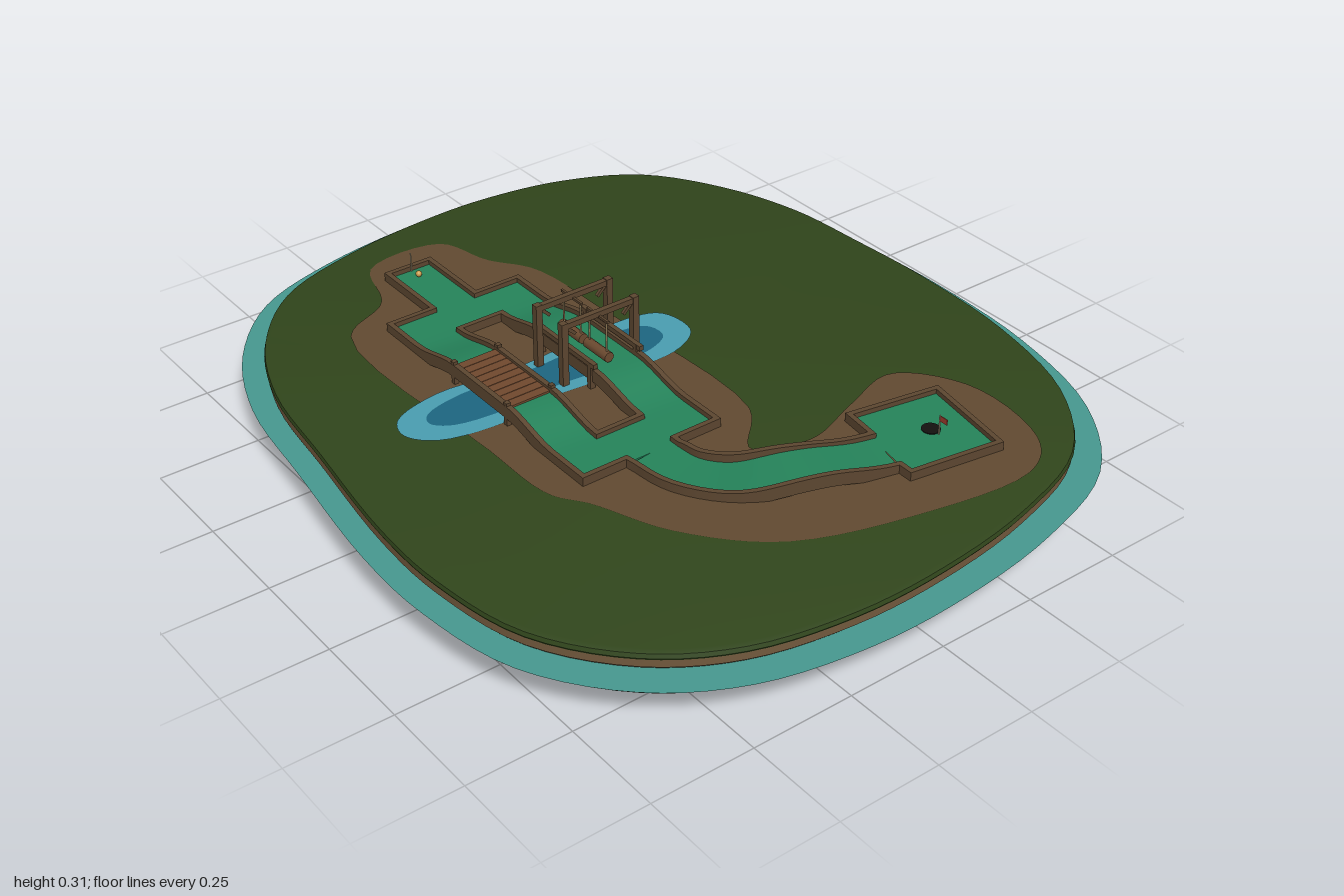
import * as THREE from 'three';
import { toCreasedNormals } from 'three/addons/utils/BufferGeometryUtils.js';

const V = (x, z) => new THREE.Vector3(x, 0, z);
const WOOD = 0x5c4630, FELT = 0x25835a, DIRT = 0x614a31;

const smooth = (pts, n, closed = true) => {
  const c = new THREE.CatmullRomCurve3(pts.map(p => V(...p)), closed).getPoints(n);
  if (closed) c.pop();
  return c;
};

function add(parent, name, geometry, color, x = 0, y = 0, z = 0, side = THREE.FrontSide) {
  const m = new THREE.Mesh(geometry, new THREE.MeshStandardMaterial({ color, side }));
  m.name = name;
  m.position.set(x, y, z);
  parent.add(m);
  return m;
}

// Skin over scaled copies of an outline, rings = [scale, y] from below to above
function loft(outline, rings) {
  const n = outline.length, pos = [], idx = [];
  rings.forEach(([s, y]) => outline.forEach(p => pos.push(p.x * s, y, p.z * s)));
  for (let k = 0; k < rings.length - 1; k++) for (let i = 0; i < n; i++) {
    const j = (i + 1) % n, a = k * n + i, b = k * n + j, c = a + n, d = b + n;
    idx.push(a, c, b, b, c, d);
  }
  const g = new THREE.BufferGeometry();
  g.setAttribute('position', new THREE.Float32BufferAttribute(pos, 3));
  g.setIndex(idx);
  return toCreasedNormals(g, 0.6);
}

// Flat outline on the ground
function patch(pts) {
  const g = new THREE.ShapeGeometry(new THREE.Shape(pts.map(p => new THREE.Vector2(p.x, -p.z))));
  return g.rotateX(-Math.PI / 2);
}

// Height of the playing surface: a hump over the stream and one on the bend
const ease = t => THREE.MathUtils.smoothstep(t, 0, 1);
function surf(x, z) {
  let y = 0.157;
  if (x > -0.42 && x < 0.17) y += 0.03 * Math.min(ease((x + 0.4) / 0.17), ease((0.15 - x) / 0.17));
  const t = Math.abs(z + 0.01) / 0.19;
  if (x > 0.3 && t < 1) y += 0.011 * (1 + Math.cos(Math.PI * t));
  return y;
}

// Rectangular section swept along a ground path, following the surface height
function ribbon(path, width, rise, drop, closed = false) {
  const pts = [];
  const last = closed ? path.length : path.length - 1;
  for (let i = 0; i < last; i++) {
    const a = path[i], b = path[(i + 1) % path.length];
    const n = Math.max(1, Math.ceil(a.distanceTo(b) / 0.03));
    for (let k = 0; k < n; k++) pts.push(a.clone().lerp(b, k / n));
  }
  if (!closed) pts.push(path[path.length - 1].clone());
  const N = pts.length, pos = [], idx = [];
  pts.forEach((p, i) => {
    const q = closed ? pts[(i + N - 1) % N] : pts[Math.max(0, i - 1)];
    const r = closed ? pts[(i + 1) % N] : pts[Math.min(N - 1, i + 1)];
    let d1 = p.clone().sub(q).normalize(), d2 = r.clone().sub(p).normalize();
    if (d1.length() < 0.5) d1 = d2;
    if (d2.length() < 0.5) d2 = d1;
    const t = d1.clone().add(d2).normalize();
    const w = width / 2 / Math.max(0.5, t.dot(d1));
    const y = surf(p.x, p.z);
    for (const [s, h] of [[1, -drop], [1, rise], [-1, rise], [-1, -drop]])
      pos.push(p.x + s * t.z * w, y + h, p.z - s * t.x * w);
  });
  for (let i = 0; i < (closed ? N : N - 1); i++) for (let j = 0; j < 4; j++) {
    const k = (j + 1) % 4, e = ((i + 1) % N) * 4;
    const a = i * 4 + j, b = i * 4 + k, c = e + j, d = e + k;
    idx.push(a, b, c, b, d, c);
  }
  const e = (N - 1) * 4;
  if (!closed) idx.push(0, 2, 1, 0, 3, 2, e, e + 1, e + 2, e, e + 2, e + 3);
  const g = new THREE.BufferGeometry();
  g.setAttribute('position', new THREE.Float32BufferAttribute(pos, 3));
  g.setIndex(idx);
  return toCreasedNormals(g, 0.5);
}

export function createModel() {
  const model = new THREE.Group();
  model.name = 'miniGolfIsland';

  // Island body and the water around it
  const shore = smooth([[.06, -.82], [.35, -.80], [.62, -.72], [.81, -.56], [.90, -.32], [.94, -.05],
    [.94, .19], [.89, .43], [.78, .61], [.59, .75], [.35, .80], [.14, .80], [-.18, .76], [-.45, .72],
    [-.66, .63], [-.82, .48], [-.90, .27], [-.94, 0], [-.94, -.19], [-.90, -.40], [-.80, -.59],
    [-.61, -.72], [-.40, -.79], [-.18, -.81]], 120);
  add(model, 'underside', loft(shore, [[.001, 0], [.35, .006], [.7, .018], [.985, .032]]), 0x30251d);
  add(model, 'cliff', loft(shore, [[.985, .032], [.995, .045], [1, .07], [.998, .092], [.988, .1],
    [.996, .108], [.996, .126]]), 0x72593d);
  add(model, 'grass', loft(shore, [[.996, .126], [1, .132], [.997, .142], [.985, .145], [.001, .145]]), 0x30451b);
  add(model, 'seaRing', loft(shore, [[1.063, .1], [.98, .1]]), 0x46988f, 0, 0, 0, THREE.DoubleSide);

  // Bare earth and stream
  const earth = smooth([[-.80, .05], [-.66, 0], [-.55, -.07], [-.29, -.09], [.25, -.10], [.38, 0], [.43, -.13],
    [.38, -.29], [.34, -.45], [.49, -.56], [.73, -.53], [.81, -.43], [.78, -.13], [.68, .16], [.51, .32],
    [.33, .40], [.25, .45], [.03, .46], [-.55, .46], [-.64, .32], [-.80, .25]], 120);
  add(model, 'earth', patch(earth), DIRT, 0, .147, 0);
  const pond = smooth([[-.19, -.19], [-.09, -.20], [-.04, -.13], [-.03, 0], [-.05, .24], [-.03, .37], [-.06, .53],
    [-.12, .58], [-.18, .56], [-.22, .43], [-.20, .24], [-.22, -.11]], 60);
  add(model, 'stream', patch(pond), 0x4a9db0, 0, .149, 0);
  const deep = pond.map(p => V(-.128 + (p.x + .128) * .6, .19 + (p.z - .19) * .82));
  add(model, 'deepWater', patch(deep), 0x1d6580, 0, .1505, 0);

  // Felt lanes
  const felt = (name, path, w) => add(model, name, ribbon(path, w, 0, .02), FELT);
  const bend = smooth([[.27, .19], [.37, .175], [.46, .11], [.52, 0], [.55, -.1], [.578, -.215]], 24, false);
  felt('teeFelt', [V(-.72, .19), V(-.52, .19)], .12);
  felt('backLane', [V(-.52, .065), V(.27, .065)], .13);
  felt('frontLane', [V(-.52, .31), V(.27, .31)], .12);
  felt('leftLink', [V(-.46, .13), V(-.46, .25)], .12);
  felt('rightLink', [V(.21, .13), V(.21, .25)], .12);
  felt('bendFelt', bend, .12);
  const green = [V(.43, -.24), V(.47, -.47), V(.71, -.43), V(.675, -.20)];
  add(model, 'cupGreen', patch(green), FELT, 0, .157, 0);

  // Kerbs: one outer loop and one round the middle
  const edge = s => bend.map((p, i) => {
    const t = bend[Math.min(i + 1, bend.length - 1)].clone().sub(bend[Math.max(i - 1, 0)]).normalize();
    return V(p.x + s * .063 * t.z, p.z - s * .063 * t.x);
  });
  const outer = [V(-.72, .13), V(-.515, .13), V(-.515, .005), V(.265, .005), V(.265, .125), ...edge(1).slice(1),
    ...green, ...edge(-1).reverse().slice(0, -1), V(.265, .255), V(.265, .37), V(-.515, .37), V(-.515, .25), V(-.72, .25)];
  add(model, 'outerKerb', ribbon(outer, .013, .012, .02, true), WOOD);
  add(model, 'innerKerb', ribbon([V(-.4, .13), V(.15, .13), V(.15, .25), V(-.4, .25)], .013, .012, .02, true), WOOD);

  // Plank bridge on the front lane
  for (let i = 0; i < 9; i++)
    add(model, 'plank', new THREE.BoxGeometry(.023, .008, .132), 0x70492e, -.228 + i * .0245, .188, .31);
  for (const x of [-.235, -.022]) for (const z of [.25, .37])
    add(model, 'bridgePost', new THREE.BoxGeometry(.012, .06, .012), WOOD, x, .176, z);

  // Side rails on the back lane bridge
  for (const z of [.005, .135]) {
    add(model, 'sideRail', new THREE.BoxGeometry(.23, .012, .012), WOOD, -.127, .212, z);
    for (const x of [-.225, -.03])
      add(model, 'railPost', new THREE.BoxGeometry(.013, .07, .013), WOOD, x, .183, z);
  }

  // Two gates, each with a swinging log
  for (const x of [-.178, -.077]) {
    const gate = new THREE.Group();
    gate.name = 'gate';
    gate.position.x = x;
    model.add(gate);
    for (const s of [-1, 1]) {
      add(gate, 'gatePost', new THREE.BoxGeometry(.017, .166, .017), WOOD, 0, .229, .077 + s * .1);
      add(gate, 'brace', new THREE.BoxGeometry(.008, .04, .008), WOOD, 0, .288, .077 + s * .082).rotation.x = s * .8;
      add(gate, 'rope', new THREE.CylinderGeometry(.0025, .0025, .095, 6), 0x8a7654, s * .033, .25, .08);
    }
    add(gate, 'beam', new THREE.BoxGeometry(.014, .014, .215), WOOD, 0, .303, .077);
    add(gate, 'ropeBar', new THREE.BoxGeometry(.08, .006, .006), WOOD, 0, .297, .08);
    add(gate, 'log', new THREE.CylinderGeometry(.013, .013, .085, 10), 0x6b4a30, 0, .205, .08).rotation.z = Math.PI / 2;
  }

  // Cup, flag, ball and tee marker
  add(model, 'cup', new THREE.CylinderGeometry(.022, .022, .003, 20), 0x14110f, .572, .1575, -.355);
  add(model, 'flagPole', new THREE.CylinderGeometry(.002, .002, .05, 6), 0xb8a888, .597, .182, -.355);
  add(model, 'flag', new THREE.BoxGeometry(.022, .014, .002), 0x9c3a2c, .609, .199, -.355);
  add(model, 'ball', new THREE.SphereGeometry(.008, 12, 8), 0xc79a4a, -.678, .165, .188);
  add(model, 'teeMarker', new THREE.CylinderGeometry(.002, .002, .05, 6), 0xb8a888, -.712, .182, .188);
  return model;
}
